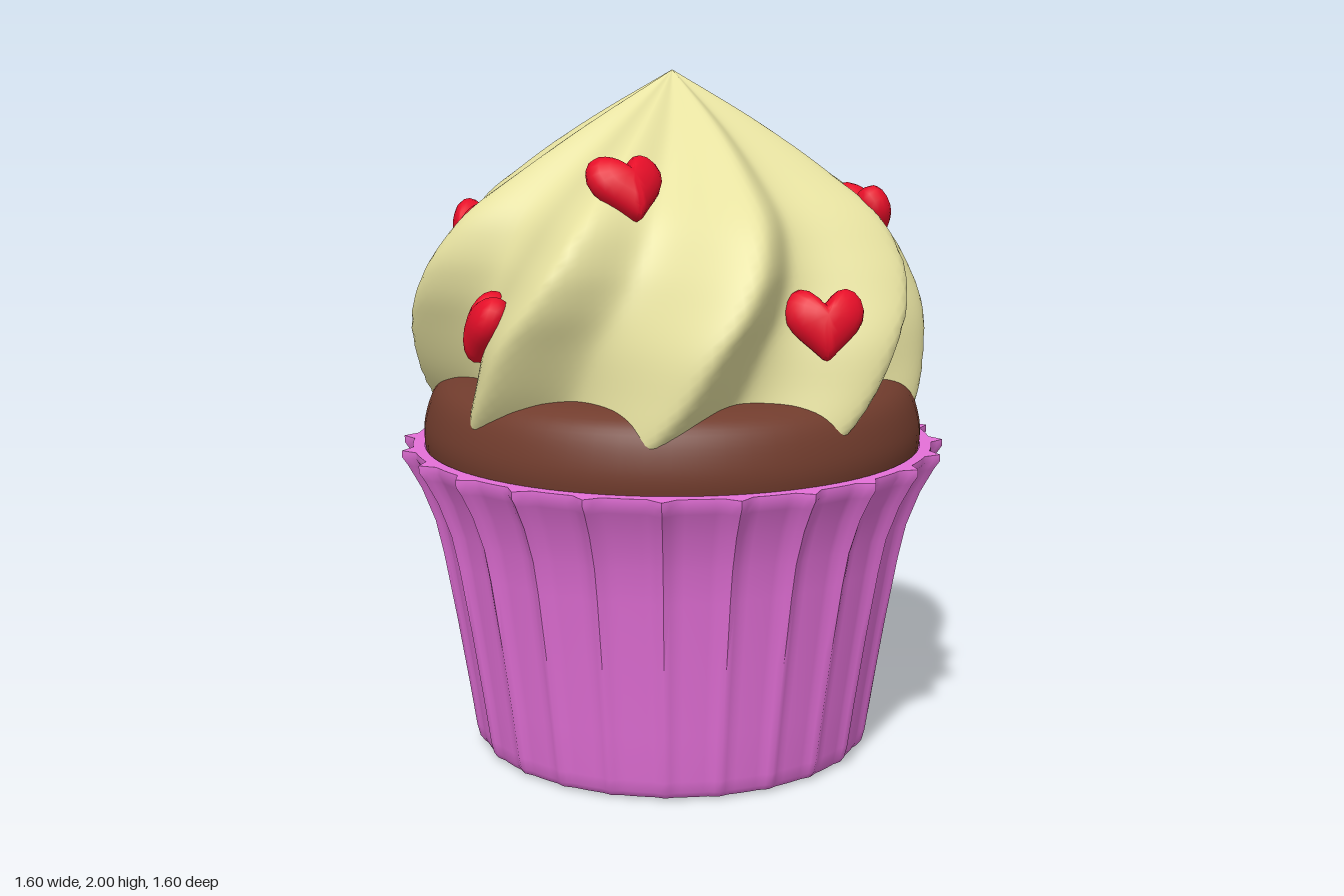
import * as THREE from 'three';
import { toCreasedNormals } from 'three/addons/utils/BufferGeometryUtils.js';

const material = (name, color, side = THREE.FrontSide) => {
  const m = new THREE.MeshStandardMaterial({ color, side });
  m.name = name;
  return m;
};

// Closed ring surface: point(row, angle) gives each vertex, rows run upward/outward
function ringSurface(rows, columns, point) {
  const positions = [], index = [];
  for (let i = 0; i < rows; i++) {
    for (let j = 0; j < columns; j++) {
      positions.push(...point(i, (j / columns) * Math.PI * 2).toArray());
      if (i === rows - 1) continue;
      const a = i * columns + j, b = i * columns + (j + 1) % columns;
      index.push(a, b, b + columns, a, b + columns, a + columns);
    }
  }
  const geometry = new THREE.BufferGeometry();
  geometry.setAttribute('position', new THREE.Float32BufferAttribute(positions, 3));
  geometry.setIndex(index);
  geometry.computeVertexNormals();
  return geometry;
}

const polar = (r, y, angle) => new THREE.Vector3(r * Math.sin(angle), y, r * Math.cos(angle));

// Pleated wrapper: [height, radius at the pleat, pleat depth]
const wrapperRows = [
  [0, 0, 0], [0, 0.555, 0.004], [0.008, 0.58, 0.008], [0.025, 0.593, 0.011], [0.06, 0.602, 0.013],
  [0.2, 0.623, 0.015], [0.4, 0.655, 0.017], [0.6, 0.69, 0.02], [0.7, 0.712, 0.023], [0.8, 0.75, 0.028],
  [0.87, 0.788, 0.033], [0.895, 0.805, 0.036], [0.915, 0.805, 0.036], [0.915, 0.735, 0], [0.85, 0.72, 0],
];
const PLEATS = 24;
function wrapperGeometry() {
  const surface = ringSurface(wrapperRows.length, PLEATS * 10, (i, angle) => {
    const [y, r, depth] = wrapperRows[i];
    const f = (angle / (Math.PI * 2) * PLEATS) % 1 - 0.5;
    const pleat = Math.max(0, 1 - Math.abs(f) / 0.2);
    return polar(r - depth * (1 - pleat), y, angle);
  });
  return toCreasedNormals(surface, 0.95);
}

// Swirled icing: crest radius, height and crest angle in degrees
const crest = new THREE.CatmullRomCurve3([
  [0.64, 0.95, -17], [0.7, 1.0, -13], [0.725, 1.05, -9], [0.75, 1.15, -3], [0.765, 1.28, 3],
  [0.748, 1.4, 9.5], [0.7, 1.51, 14], [0.61, 1.62, 17], [0.47, 1.72, 19], [0.3, 1.83, 21],
  [0.18, 1.9, 22], [0.09, 1.95, 22.5], [0, 2, 23],
].map(p => new THREE.Vector3(...p)));
const LOBES = 8;
const VALLEY = 0.4; // valley position between crests: one flank is steeper
function icingPoint(t, angle) {
  const c = crest.getPoint(t);
  const turns = LOBES * (angle - THREE.MathUtils.degToRad(c.z)) / (Math.PI * 2);
  const u = turns - Math.floor(turns);
  const w = u < VALLEY ? u / (2 * VALLEY) : 1 - (1 - u) / (2 * (1 - VALLEY));
  const hollow = Math.max(0, Math.sin(Math.PI * w)) ** 1.4;
  return polar(Math.max(0, c.x) * (1 - 0.21 * hollow), c.y, angle);
}

// Place on the icing at a given height and angle, with its outward normal
function icingFrame(y, angle) {
  let low = 0, high = 1;
  for (let i = 0; i < 30; i++) {
    const mid = (low + high) / 2;
    if (crest.getPoint(mid).y < y) low = mid; else high = mid;
  }
  const e = 0.03;
  const position = icingPoint(low, angle);
  const along = icingPoint(low, angle + e).sub(icingPoint(low, angle - e));
  const upward = icingPoint(low + e, angle).sub(icingPoint(low - e, angle));
  return { position, normal: along.cross(upward).normalize() };
}

// Puffy heart: a sphere whose rings are reshaped to a blunt heart outline
function heartGeometry() {
  const geometry = new THREE.SphereGeometry(1, 28, 10).rotateX(Math.PI / 2);
  const p = geometry.attributes.position;
  for (let i = 0; i < p.count; i++) {
    const x = p.getX(i), y = p.getY(i), rho = Math.hypot(x, y), t = Math.atan2(x, y);
    const hx = 13 * Math.sin(t) - 2.5 * Math.sin(3 * t);
    const hy = 13 * Math.cos(t) - 4 * Math.cos(2 * t) - 2 * Math.cos(3 * t) - Math.cos(4 * t);
    p.setXYZ(i, hx * rho * 0.0072, (hy * rho + 2) * 0.0072, p.getZ(i) * 0.06);
  }
  return toCreasedNormals(geometry, 0.9);
}

// Heart centres
const hearts = [
  [-0.15, 1.69, 0.4], [0.36, 1.33, 0.53], [-0.55, 1.31, 0.39], [0.51, 1.585, 0.18], [0.59, 1.28, -0.24],
  [0.23, 1.72, -0.34], [-0.22, 1.71, -0.37], [-0.42, 1.34, -0.55], [0.09, 1.33, -0.68], [-0.57, 1.51, -0.23],
];

export function createModel() {
  const model = new THREE.Group();
  model.name = 'cupcake';
  const add = (name, geometry, mat) => {
    const mesh = new THREE.Mesh(geometry, mat);
    mesh.name = name;
    model.add(mesh);
    return mesh;
  };

  add('wrapper', wrapperGeometry(), material('pink purple', 0xe470d8, THREE.DoubleSide));

  // Domed sponge
  const dome = new THREE.SplineCurve([
    [0.715, 0.84], [0.735, 0.93], [0.73, 1.0], [0.705, 1.07], [0.66, 1.11], [0.58, 1.13], [0.3, 1.16], [0, 1.17],
  ].map(p => new THREE.Vector2(...p)));
  add('sponge', new THREE.LatheGeometry(dome.getPoints(28), 64), material('chocolate brown', 0x713c2d));

  const ROWS = 56;
  add('icing', ringSurface(ROWS + 1, 160, (i, angle) => icingPoint(i / ROWS, angle)),
    material('cream', 0xe6e1a0, THREE.DoubleSide));

  // Hearts lie on the icing with their tips pointing down
  const heart = heartGeometry();
  const red = material('red', 0xe60e28);
  hearts.forEach(([x, y, z], i) => {
    const { position, normal } = icingFrame(y, Math.atan2(x, z));
    const side = new THREE.Vector3(0, 1, 0).cross(normal).normalize();
    const up = normal.clone().cross(side);
    const mesh = add('heart' + (i + 1), heart, red);
    mesh.quaternion.setFromRotationMatrix(new THREE.Matrix4().makeBasis(side, up, normal));
    mesh.position.copy(position).addScaledVector(normal, 0.01);
  });
  return model;
}
